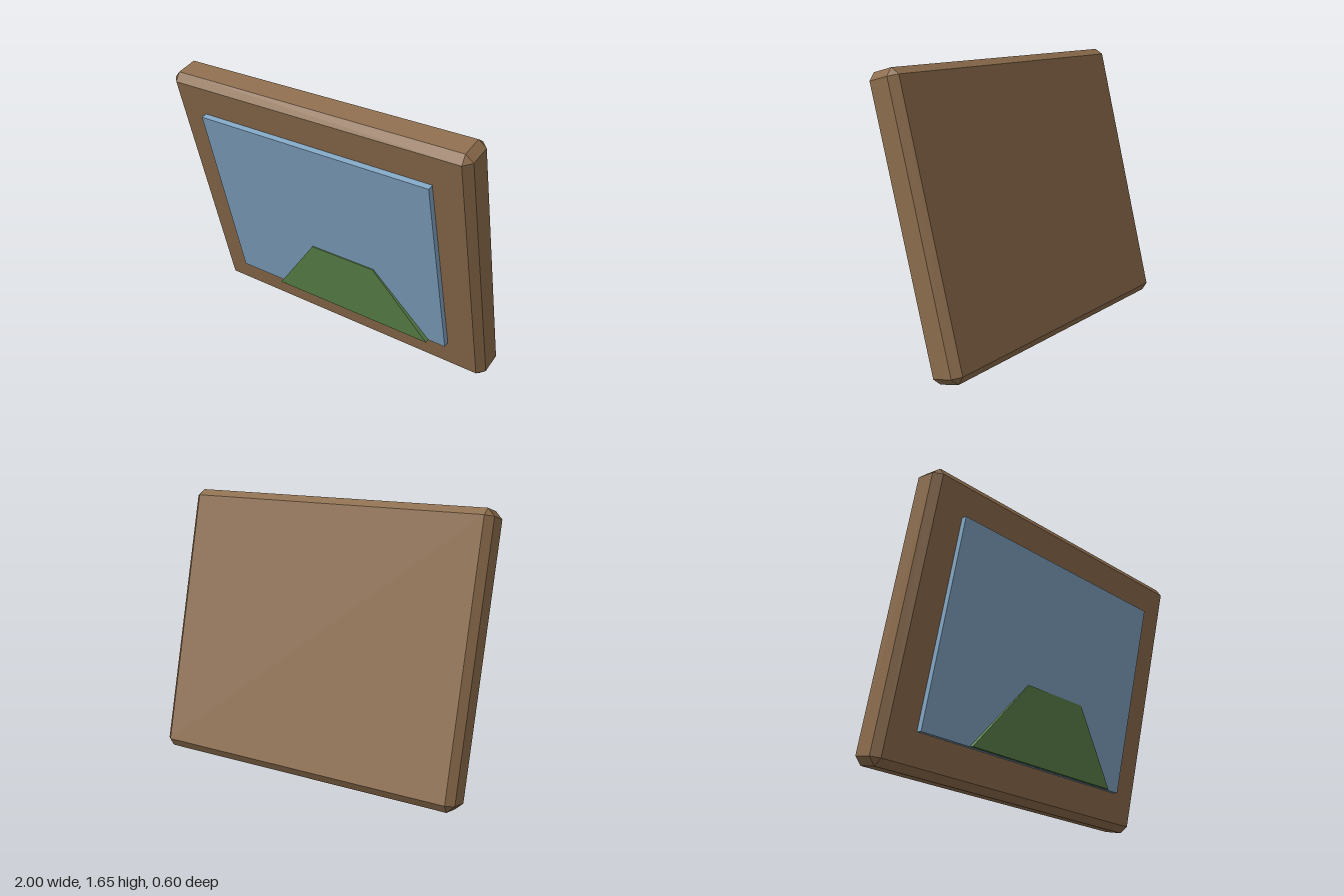
import * as THREE from 'three';
import { ConvexGeometry } from 'three/addons/geometries/ConvexGeometry.js';

const material = (name, color) => {
  const m = new THREE.MeshStandardMaterial({ color });
  m.name = name;
  return m;
};

// Box with every edge and corner cut off by a flat chamfer
function chamferedBox(hx, hy, hz, c) {
  const points = [];
  for (const sx of [-1, 1]) for (const sy of [-1, 1]) for (const sz of [-1, 1]) {
    points.push(
      new THREE.Vector3(sx * hx, sy * (hy - c), sz * (hz - c)),
      new THREE.Vector3(sx * (hx - c), sy * hy, sz * (hz - c)),
      new THREE.Vector3(sx * (hx - c), sy * (hy - c), sz * hz)
    );
  }
  return new ConvexGeometry(points);
}

export function createModel() {
  const wood = material('wood brown', 0x8c6c4c);
  const sky = material('sky blue', 0x80a4c2);
  const grass = material('hill green', 0x5a8249);

  const model = new THREE.Group();
  model.name = 'leaningPicture';

  // Everything shares the forward lean
  const picture = new THREE.Group();
  picture.name = 'picture';
  picture.position.y = 0.825;
  picture.rotation.x = 0.25;
  model.add(picture);

  const add = (name, geometry, mat, x = 0, y = 0, z = 0) => {
    const mesh = new THREE.Mesh(geometry, mat);
    mesh.name = name;
    mesh.position.set(x, y, z);
    picture.add(mesh);
  };

  // Wooden slab
  add('frame', chamferedBox(1, 0.834, 0.108, 0.043), wood);

  // Raised sky panel
  add('skyPanel', new THREE.BoxGeometry(1.556, 1.218, 0.044), sky, 0, 0, 0.122);

  // Hill: a flattened four-sided frustum, thicker at its foot
  const hill = new THREE.CylinderGeometry(0.4 * Math.SQRT2, Math.SQRT2, 0.444, 4, 1).toNonIndexed();
  hill.rotateY(Math.PI / 4);
  hill.scale(0.555, 1, 0.033);
  hill.computeVertexNormals();
  add('hill', hill, grass, 0.11, -0.385, 0.137);

  return model;
}
